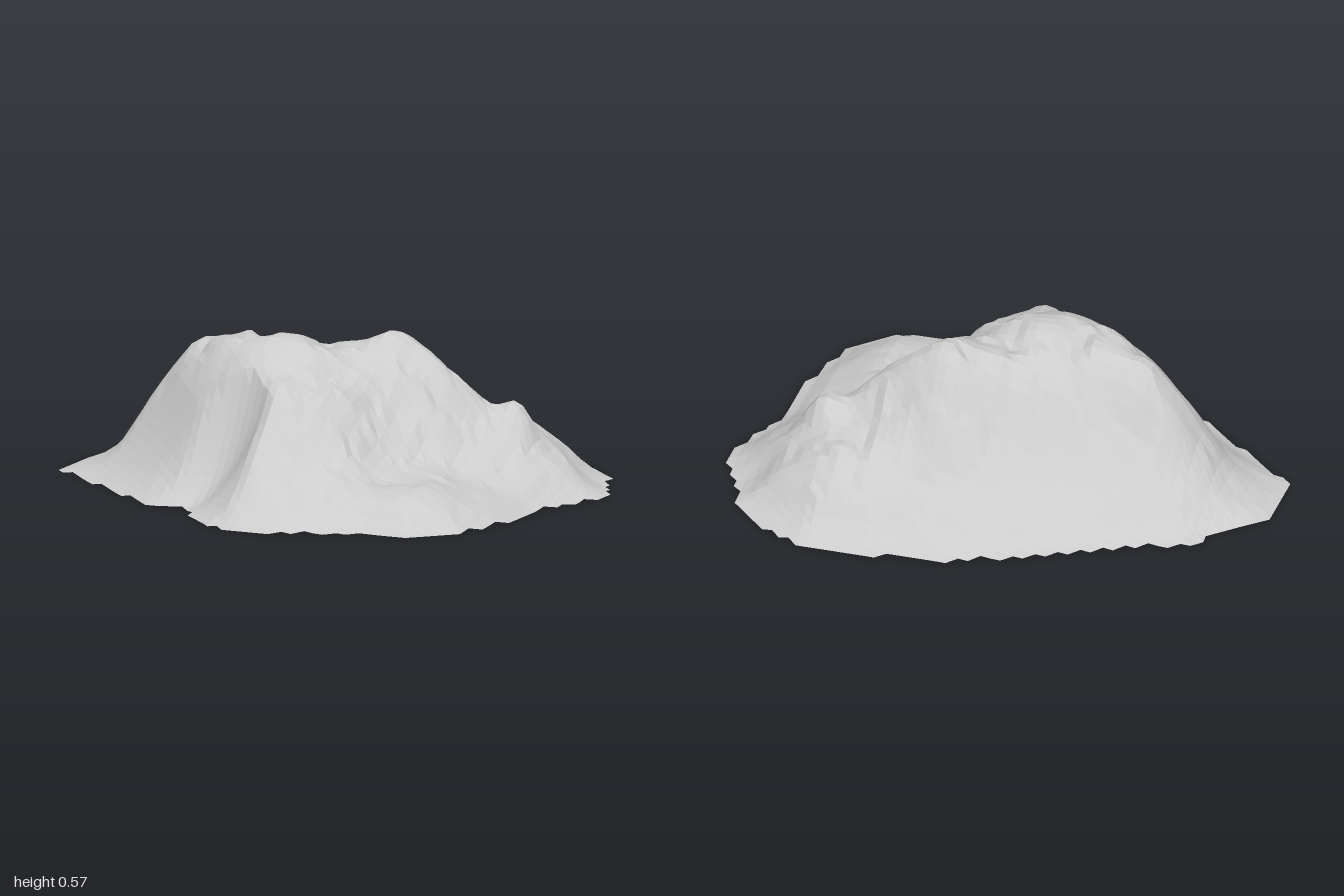
import * as THREE from 'three';

// Footprint corners as x, z pairs
const OUTLINE = [
  [-1, -0.14], [-0.96, -0.22], [-0.77, -0.42], [-0.45, -0.57], [-0.11, -0.73], [0.07, -0.8],
  [0.26, -0.8], [0.3, -0.835], [0.6, -0.835], [0.75, -0.74], [0.89, -0.62], [0.92, -0.48],
  [0.96, -0.42], [1, -0.32], [1, -0.24], [0.92, -0.05], [0.89, 0.05], [0.88, 0.3], [0.82, 0.53],
  [0.66, 0.68], [0.48, 0.69], [0.37, 0.75], [0.18, 0.83], [0, 0.83], [-0.1, 0.78],
  [-0.22, 0.65], [-0.27, 0.56], [-0.45, 0.53], [-0.7, 0.33], [-1, 0.09],
];

// Heights in hundredths: columns every 0.2 in x from -1, rows every 0.15 in z from -0.825
const HEIGHTS = [
  [0, 0, 0, 0, 0, 0, 1, 1, 1, 0, 0],
  [0, 0, 0, 0, 2, 5, 9, 13, 11, 3, 0],
  [0, 0, 1, 4, 8, 14, 18, 21, 20, 9, 0],
  [0, 2, 9, 15, 20, 28, 40, 31, 25, 13, 1],
  [0, 8, 22, 32, 39, 47, 56, 46, 27, 13, 1],
  [1, 11, 39, 52, 53, 53, 51, 37, 19, 8, 0],
  [0, 8, 32, 50, 56, 54, 41, 24, 12, 5, 0],
  [0, 1, 12, 33, 48, 48, 36, 17, 12, 5, 0],
  [0, 0, 2, 11, 29, 41, 29, 14, 13, 4, 0],
  [0, 0, 0, 1, 10, 25, 18, 12, 10, 2, 0],
  [0, 0, 0, 0, 2, 9, 8, 6, 2, 0, 0],
  [0, 0, 0, 0, 0, 1, 1, 0, 0, 0, 0],
];

// Small knolls and hollows: x, z, height, radius
const KNOLLS = [
  [0.65, -0.3, 0.075, 0.08],
  [0.48, -0.58, 0.02, 0.1],
  [0.53, -0.34, -0.03, 0.07],
  [-0.5, -0.04, 0.035, 0.08],
  [0.2, 0.2, 0.015, 0.09],
  [0.06, -0.1, -0.02, 0.07],
];

const clamp = THREE.MathUtils.clamp;

// Smooth curve through evenly spaced samples
function sample(get, count, t) {
  const i = clamp(Math.floor(t), 0, count - 2), f = clamp(t - i, 0, 1);
  const [a, b, c, d] = [-1, 0, 1, 2].map((k) => get(clamp(i + k, 0, count - 1)));
  return b + 0.5 * f * (c - a + f * (2 * a - 5 * b + 4 * c - d + f * (3 * (b - c) + d - a)));
}

// Signed distance to the footprint edge, positive inside
function edgeDistance(x, z) {
  let inside = false, best = Infinity;
  OUTLINE.forEach(([ax, az], i) => {
    const [bx, bz] = OUTLINE[(i + 1) % OUTLINE.length];
    if (az > z !== bz > z && x < ax + ((z - az) * (bx - ax)) / (bz - az)) inside = !inside;
    const dx = bx - ax, dz = bz - az;
    const t = clamp(((x - ax) * dx + (z - az) * dz) / (dx * dx + dz * dz), 0, 1);
    best = Math.min(best, Math.hypot(x - ax - t * dx, z - az - t * dz));
  });
  return inside ? best : -best;
}

// Repeatable value noise for the craggy rock
const hash = (i, j) => {
  const s = Math.sin(i * 127.1 + j * 311.7) * 43758.5453;
  return (s - Math.floor(s)) * 2 - 1;
};
function noise(x, z) {
  const i = Math.floor(x), j = Math.floor(z);
  const u = THREE.MathUtils.smoothstep(x - i, 0, 1), v = THREE.MathUtils.smoothstep(z - j, 0, 1);
  const lerp = THREE.MathUtils.lerp;
  return lerp(lerp(hash(i, j), hash(i + 1, j), u), lerp(hash(i, j + 1), hash(i + 1, j + 1), u), v);
}

function heightAt(x, z, d) {
  const row = (j) => sample((i) => HEIGHTS[j][i], 11, (x + 1) / 0.2);
  let h = sample(row, 12, (z + 0.825) / 0.15) / 100;
  for (const [kx, kz, top, r] of KNOLLS) {
    h += top * Math.exp(-((x - kx) ** 2 + (z - kz) ** 2) / (r * r));
  }
  // Crags are strong on the summit and eastern side, faint on the smooth western faces
  const smooth = THREE.MathUtils.smoothstep(Math.max(x + 0.05, 0.25 - Math.abs(z + 0.05)), -0.05, 0.2);
  const rough = clamp(h * 3.5, 0, 1) * (0.25 + 0.75 * smooth);
  h += rough * (0.012 * noise(x * 9, z * 9) + 0.016 * noise(x * 20 + 5, z * 20));
  // Foot of the slope flares gently into the ground
  h = Math.min(h, 0.27 * d + 3.5 * d * d);
  return clamp(h, 0.003 * clamp(d * 20, 0, 1), 0.568);
}

export function createModel() {
  const group = new THREE.Group();
  group.name = 'mountain';

  // Square terrain grid trimmed to the footprint, with diagonal cuts at its rim
  const nx = 54, nz = 45, step = 2 / nx;
  const positions = [], inside = [], index = [];
  for (let j = 0; j <= nz; j++) {
    for (let i = 0; i <= nx; i++) {
      const x = -1 + i * step, z = (j - nz / 2) * step;
      const d = edgeDistance(x, z);
      inside.push(d > -0.012);
      positions.push(x, heightAt(x, z, Math.max(d, 0)), z);
    }
  }
  for (let j = 0; j < nz; j++) {
    for (let i = 0; i < nx; i++) {
      const a = j * (nx + 1) + i;
      const ring = [a, a + nx + 1, a + nx + 2, a + 1].filter((k) => inside[k]);
      if (ring.length >= 3) index.push(ring[0], ring[1], ring[2]);
      if (ring.length === 4) index.push(ring[0], ring[2], ring[3]);
    }
  }
  const geometry = new THREE.BufferGeometry();
  geometry.setAttribute('position', new THREE.Float32BufferAttribute(positions, 3));
  geometry.setIndex(index);
  const faceted = geometry.toNonIndexed();
  faceted.computeVertexNormals();

  const terrain = new THREE.Mesh(faceted, new THREE.MeshStandardMaterial({
    color: 0xcccccc, flatShading: true, side: THREE.DoubleSide,
  }));
  terrain.name = 'terrainSurface';
  group.add(terrain);
  return group;
}
